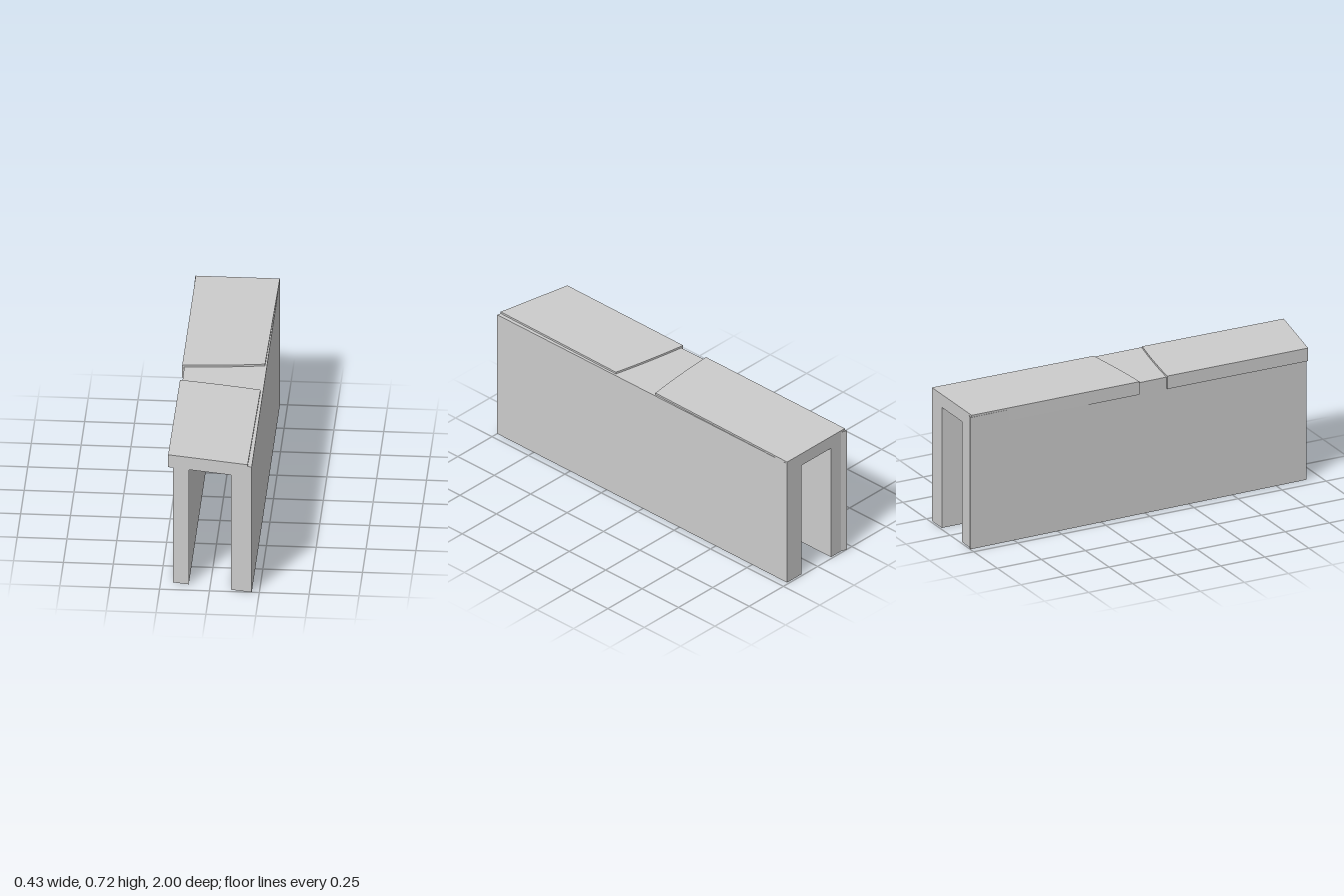
import * as THREE from 'three';

const LEFT = -0.213, RIGHT = 0.212;          // outer width
const LEG_TOP = 0.65, DECK_TOP = 0.71, SLAB_TOP = 0.72;
const BACK = -0.99;

// Skewed front end and slightly tapering long sides
const frontZ = x => 0.918 + (x - LEFT) * 0.193;
const wallLeftX = z => THREE.MathUtils.mapLinear(z, -1, 0.923, LEFT, -0.187);
const slabRightX = z => THREE.MathUtils.mapLinear(z, BACK, 0.996, RIGHT, 0.191);

export function createModel() {
  const group = new THREE.Group();
  const material = new THREE.MeshStandardMaterial({ color: 0xcccccc, flatShading: true });

  // Raises a plan outline of [x, z] points from y0 to y1
  function addPlan(name, points, y0, y1) {
    const shape = new THREE.Shape(points.map(([x, z]) => new THREE.Vector2(x, -z)));
    const geometry = new THREE.ExtrudeGeometry(shape, { depth: y1 - y0, bevelEnabled: false });
    geometry.rotateX(-Math.PI / 2).translate(0, y0, 0);
    const mesh = new THREE.Mesh(geometry, material);
    mesh.name = name;
    group.add(mesh);
  }

  // Points along a gently bowed joint across the slab
  function joint(zLeft, zMid, zRight) {
    const mid = 2 * zMid - (zLeft + zRight) / 2;
    const xRight = slabRightX(zRight);
    return new THREE.QuadraticBezierCurve(
      new THREE.Vector2(-0.21, zLeft),
      new THREE.Vector2((xRight - 0.21) / 2, mid),
      new THREE.Vector2(xRight, zRight)
    ).getPoints(10).map(p => [p.x, p.y]);
  }

  // Left wall, with its tapering outer face and small rear lip
  const leftOuter = [[-0.187, frontZ(-0.187)], [wallLeftX(-1), -1], [-0.18, BACK]];
  addPlan('leftWall', [...leftOuter, [-0.108, BACK], [-0.108, frontZ(-0.108)]], 0, LEG_TOP);

  // Right wall
  const rightOuter = [[RIGHT, BACK], [RIGHT, frontZ(RIGHT)]];
  addPlan('rightWall', [[0.107, frontZ(0.107)], [0.107, BACK], ...rightOuter], 0, LEG_TOP);

  // Deck bridging the walls
  addPlan('deck', [...leftOuter, ...rightOuter], LEG_TOP, DECK_TOP);

  // Two cover slabs, parted by a curved channel
  addPlan('rearSlab',
    [[-0.21, BACK], ...joint(-0.037, -0.052, -0.077), [RIGHT, BACK]], LEG_TOP, SLAB_TOP);
  addPlan('frontSlab',
    [...joint(0.12, 0.154, 0.197), [0.191, frontZ(0.191)], [LEFT, frontZ(LEFT)]], LEG_TOP, SLAB_TOP);

  return group;
}
